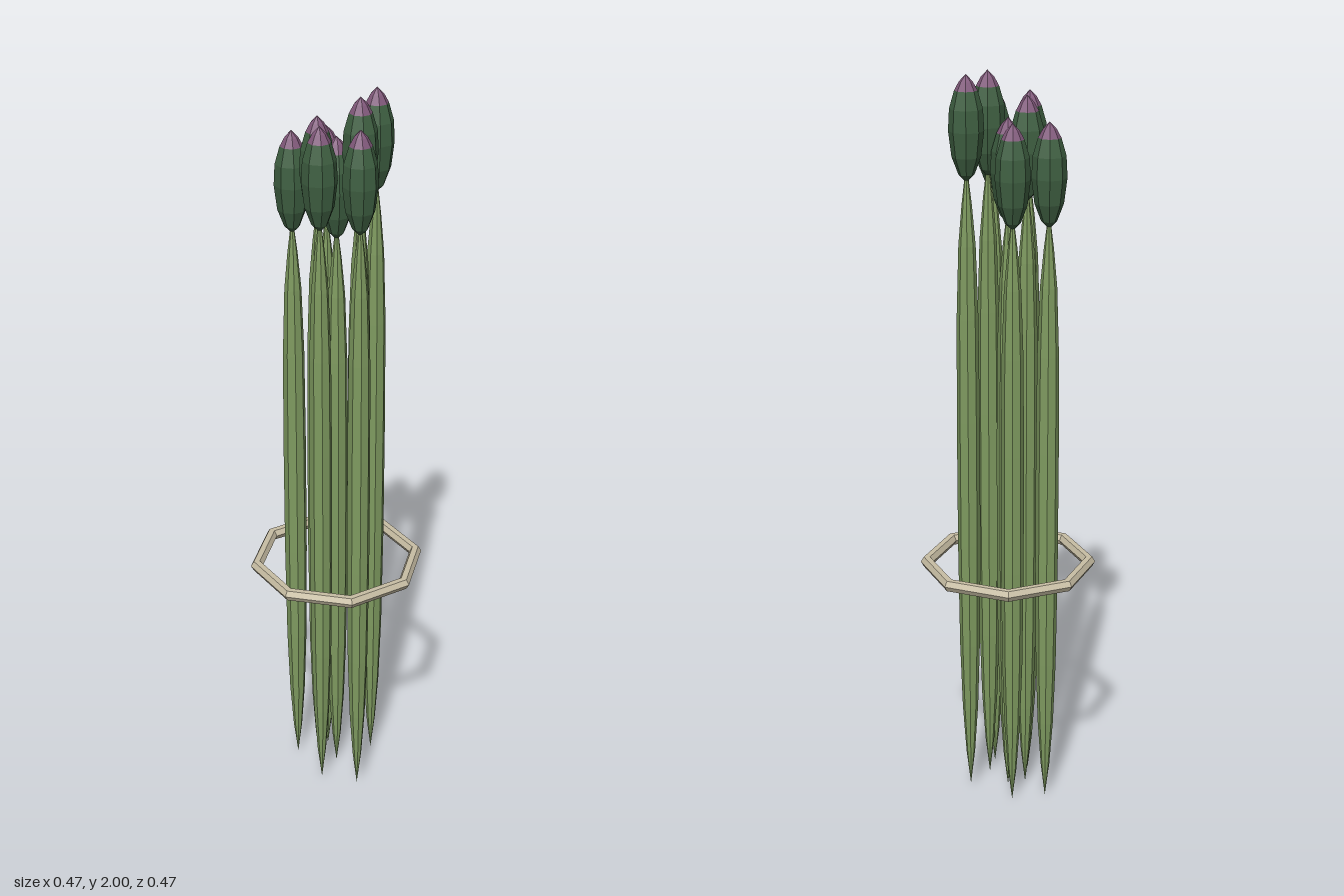
import * as THREE from 'three';

const flat = (name, color) => new THREE.MeshStandardMaterial({ name, color, flatShading: true });

// Eight-sided solid turned from [radius, height] pairs, listed bottom to top
const turned = (profile) =>
  new THREE.LatheGeometry(profile.map(([r, y]) => new THREE.Vector2(r, y)), 8);

export function createModel() {
  const stemGreen = flat('stemGreen', 0x7f9b60);
  const budGreen = flat('budGreen', 0x3f6042);
  const tipPurple = flat('tipPurple', 0x80587a);
  const bandBeige = flat('bandBeige', 0xc9bfa5);

  const bundle = new THREE.Group();
  bundle.name = 'spearBundle';

  // Bud and tip, with y = 0 at the very point of the spear
  const budGeometry = turned([
    [0, -0.27], [0.02, -0.25], [0.037, -0.205], [0.045, -0.14], [0.042, -0.085], [0.029, -0.04],
  ]);
  const tipGeometry = turned([[0.029, -0.04], [0.017, -0.018], [0, 0]]);

  // Spears spiral outward from the middle in three repeating heights
  const spots = [
    [0, 0], [-0.035, -0.033], [0.005, 0.067], [0.05, -0.066],
    [-0.095, 0.016], [0.09, 0.057], [-0.03, -0.115], [-0.06, 0.112],
  ];
  spots.forEach(([x, z], i) => {
    const step = i % 3;
    const top = 1.89 + 0.055 * step;
    const bottom = 0.008 * step;
    const neck = top - 0.24;

    const spear = new THREE.Group();
    spear.name = `spear${i + 1}`;
    spear.position.set(x, 0, z);

    // Stem tapers to a point at the foot and a thin neck under the bud
    const length = neck - bottom;
    const stem = new THREE.Mesh(turned([
      [0, 0], [0.012, 0.06], [0.021, 0.14], [0.027, 0.25], [0.03, 0.42],
      [0.03, 0.62], [0.028, 0.78], [0.022, 0.89], [0.013, 0.95], [0.003, 1],
    ].map(([r, t]) => [r, bottom + t * length])), stemGreen);
    stem.name = 'stem';

    const bud = new THREE.Mesh(budGeometry, budGreen);
    bud.name = 'bud';
    bud.position.y = top;

    const tip = new THREE.Mesh(tipGeometry, tipPurple);
    tip.name = 'tip';
    tip.position.y = top;

    spear.add(stem, bud, tip);
    bundle.add(spear);
  });

  // Loose octagonal tie around the bundle
  const band = new THREE.Mesh(new THREE.TorusGeometry(0.219, 0.0165, 6, 8), bandBeige);
  band.name = 'band';
  band.rotation.x = Math.PI / 2;
  band.position.y = 0.685;
  bundle.add(band);

  return bundle;
}
